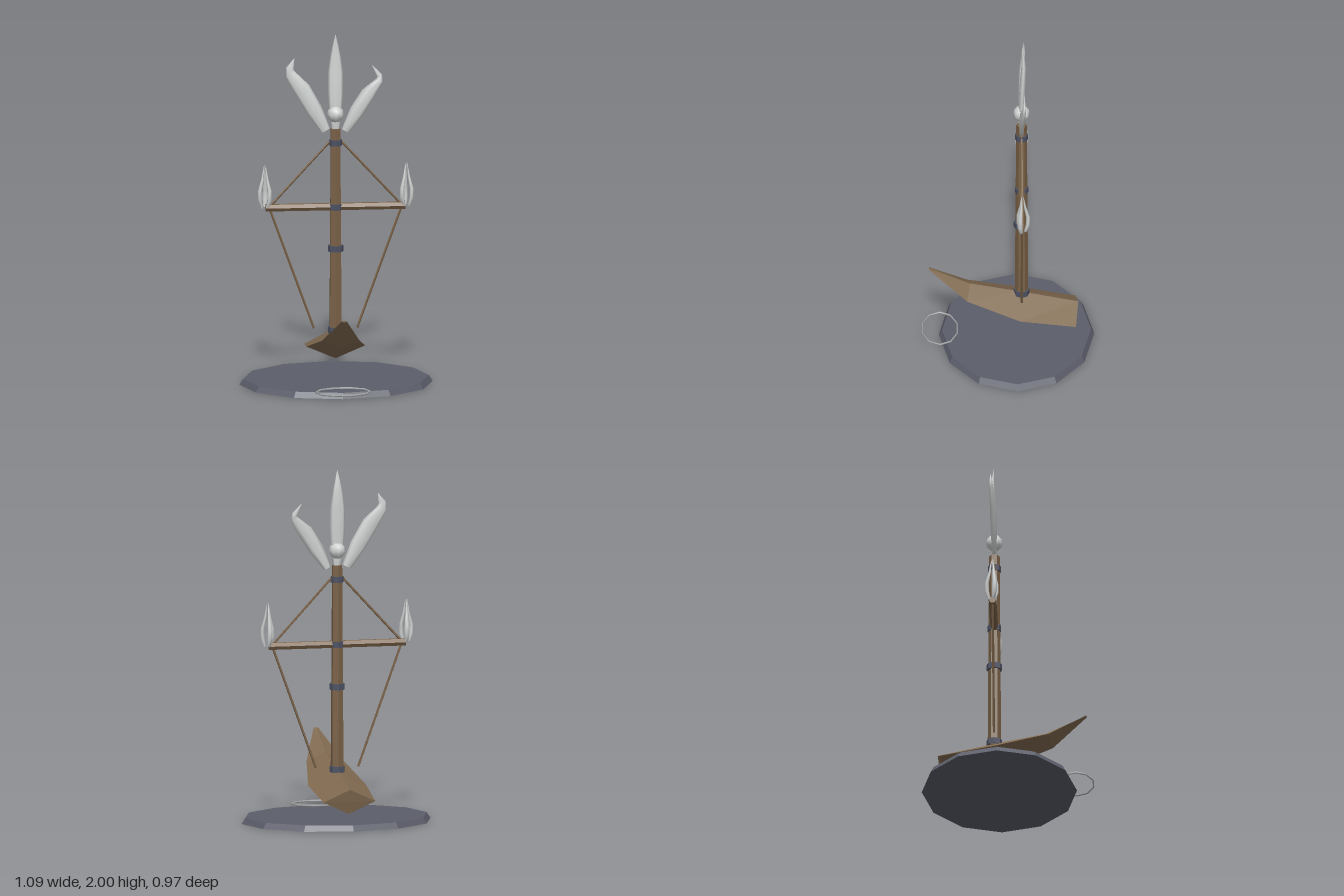
import * as THREE from 'three';

const mat = (name, color, opts = {}) => new THREE.MeshStandardMaterial({ name, color, ...opts });

// Skin a stack of closed rings (arrays of Vector3), capping both ends
function skin(rings) {
  const n = rings[0].length, pos = [], idx = [];
  rings.forEach(r => r.forEach(p => pos.push(p.x, p.y, p.z)));
  for (let j = 0; j < rings.length - 1; j++) {
    for (let i = 0; i < n; i++) {
      const a = j * n + i, b = j * n + (i + 1) % n;
      idx.push(a, a + n, b, a + n, b + n, b);
    }
  }
  const last = (rings.length - 1) * n;
  for (let i = 1; i < n - 1; i++) {
    idx.push(0, i, i + 1);
    idx.push(last, last + i + 1, last + i);
  }
  const g = new THREE.BufferGeometry();
  g.setAttribute('position', new THREE.Float32BufferAttribute(pos, 3));
  g.setIndex(idx);
  return g;
}

// Blade in the xy plane: stations are [x, y, z, halfWidth, halfThickness]
function blade(stations, sides = 8) {
  const rings = stations.map(([x, y, z, w, t], k) => {
    const p = stations[Math.max(0, k - 1)], q = stations[Math.min(stations.length - 1, k + 1)];
    const dir = new THREE.Vector2(q[0] - p[0], q[1] - p[1]).normalize();
    return Array.from({ length: sides }, (_, i) => {
      const a = i / sides * Math.PI * 2, c = Math.cos(a) * w;
      return new THREE.Vector3(x + dir.y * c, y - dir.x * c, z + Math.sin(a) * t);
    });
  });
  const g = skin(rings);
  g.computeVertexNormals();
  return g;
}

export function createModel() {
  const wood = mat('wood', 0x806a50, { flatShading: true });
  const spar = mat('sparWood', 0x7a6248, { flatShading: true });
  const stone = mat('slate', 0x5b5d6a, { flatShading: true });
  const iron = mat('bandIron', 0x4c5162, { flatShading: true });
  const bone = mat('paleBone', 0xced2d0);
  const silver = mat('ringSilver', 0xa8aaac);

  const model = new THREE.Group();
  const Z = -0.08;
  const add = (name, geo, material, x = 0, y = 0, z = 0) => {
    const m = new THREE.Mesh(geo, material);
    m.name = name;
    m.position.set(x, y, z);
    model.add(m);
    return m;
  };
  // Straight round bar between two points
  const bar = (name, a, b, r0, r1, sides, material) => {
    const A = new THREE.Vector3(...a), B = new THREE.Vector3(...b), d = B.clone().sub(A);
    const m = add(name, new THREE.CylinderGeometry(r1, r0, d.length(), sides), material);
    m.position.copy(A).add(B).multiplyScalar(0.5);
    m.quaternion.setFromUnitVectors(new THREE.Vector3(0, 1, 0), d.normalize());
    return m;
  };

  // Oval base slab
  add('base', new THREE.CylinderGeometry(0.525, 0.547, 0.033, 12), stone, 0, 0.0165, -0.052)
    .scale.z = 0.8;

  // Thin oval ring lying in front of the base
  const ring = add('groundRing', new THREE.TorusGeometry(0.153, 0.006, 5, 10).rotateX(Math.PI / 2), silver, 0, 0.041, 0.38);
  ring.scale.z = 0.67;

  // Hull: diamond sections [ridge z,y, side x,z,y, keel z,y], stern to bow
  const sections = [
    [-0.4, 0.225, 0.15, -0.385, 0.155, -0.365, 0.083],
    [-0.06, 0.3, 0.166, -0.07, 0.208, -0.06, 0.14],
    [0.21, 0.355, 0.105, 0.228, 0.305, 0.25, 0.265],
    [0.44, 0.465, 0.015, 0.44, 0.46, 0.44, 0.453],
  ];
  const hull = skin(sections.map(([rz, ry, sx, sz, sy, kz, ky]) => [
    new THREE.Vector3(0, ry, rz), new THREE.Vector3(sx, sy, sz),
    new THREE.Vector3(0, ky, kz), new THREE.Vector3(-sx, sy, sz),
  ].reverse()));
  // Keep the skin facing outward whichever way the rings run
  const probe = hull.clone().toNonIndexed();
  const pp = probe.attributes.position;
  let volume = 0;
  for (let i = 0; i < pp.count; i += 3) {
    const [a, b, c] = [0, 1, 2].map(k => new THREE.Vector3().fromBufferAttribute(pp, i + k));
    volume += a.dot(b.cross(c));
  }
  if (volume < 0) hull.setIndex(Array.from(hull.index.array).reverse());
  const hullFlat = hull.toNonIndexed();
  hullFlat.computeVertexNormals();
  add('hull', hullFlat, wood);

  // Mast, its iron bands and the yard
  bar('mast', [0, 0.28, Z], [0, 1.46, Z], 0.038, 0.03, 6, spar);
  [[0.3, 0.044], [0.77, 0.044], [1.01, 0.038], [1.38, 0.037]].forEach(([y, r]) =>
    add('mastBand', new THREE.CylinderGeometry(r, r, 0.034, 8), iron, 0, y, Z));
  bar('yard', [-0.395, 1.01, Z], [0.395, 1.01, Z], 0.022, 0.022, 6, spar);

  // Stays and the three-pronged claws on both yard ends
  for (const s of [-1, 1]) {
    bar('upperStay', [s * 0.02, 1.4, Z], [s * 0.37, 1.02, Z], 0.007, 0.007, 5, spar);
    bar('lowerStay', [s * 0.375, 1.01, Z], [s * 0.122, 0.31, Z], 0.007, 0.007, 5, spar);
    for (const deg of [23, 143, 263]) {
      const a = THREE.MathUtils.degToRad(deg);
      const prong = blade([
        [0.018, 1.01, 0, 0.008, 0.01], [0.032, 1.06, 0, 0.012, 0.016],
        [0.032, 1.11, 0, 0.011, 0.014], [0.016, 1.175, 0, 0.007, 0.008],
        [0.005, 1.255, 0, 0.001, 0.001],
      ], 6);
      add('clawProng', prong, bone, s * 0.4, 0, Z).rotation.y = s > 0 ? -a : a - Math.PI;
    }
  }

  // Crown of three blades
  add('centreBlade', blade([
    [0, 1.45, Z, 0.022, 0.014], [0, 1.56, Z, 0.036, 0.017], [0, 1.67, Z - 0.003, 0.043, 0.017],
    [0, 1.78, Z - 0.008, 0.043, 0.016], [0, 1.87, Z - 0.012, 0.03, 0.013],
    [0, 1.94, Z - 0.009, 0.016, 0.008], [0, 2, Z - 0.003, 0.001, 0.001],
  ]), bone);
  add('rightBlade', blade([
    [-0.055, 1.45, Z, 0.028, 0.012], [-0.12, 1.57, Z, 0.045, 0.018],
    [-0.19, 1.69, Z - 0.004, 0.047, 0.017], [-0.255, 1.775, Z - 0.012, 0.03, 0.012],
    [-0.257, 1.81, Z - 0.014, 0.022, 0.009], [-0.232, 1.865, Z - 0.015, 0.001, 0.001],
  ]), bone);
  add('leftBlade', blade([
    [0.055, 1.445, Z, 0.022, 0.012], [0.12, 1.555, Z, 0.042, 0.016],
    [0.185, 1.655, Z - 0.004, 0.042, 0.015], [0.25, 1.73, Z - 0.012, 0.022, 0.011],
    [0.25, 1.757, Z - 0.014, 0.016, 0.008], [0.207, 1.82, Z - 0.015, 0.001, 0.001],
  ], 6), bone);

  // Round boss at the foot of the crown
  add('crownBoss', new THREE.SphereGeometry(0.048, 8, 6), bone, 0, 1.543, Z);

  return model;
}
